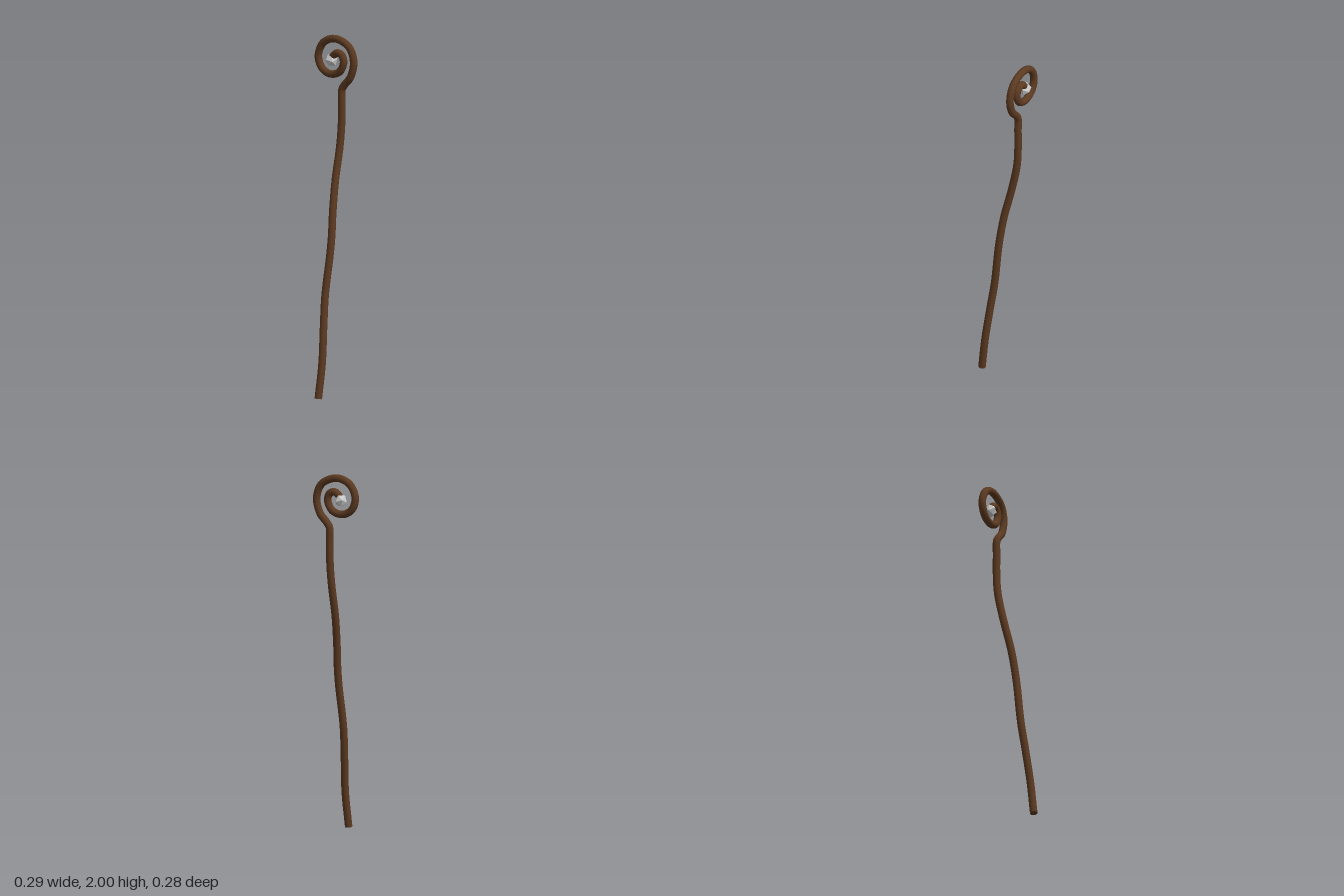
import * as THREE from 'three';

const RADIUS = 0.021;
const PLANE_Z = -0.107; // plane of the curled head

export function createModel() {
  const group = new THREE.Group();
  const wood = new THREE.MeshStandardMaterial({ color: 0x5c3a21 });
  const stone = new THREE.MeshStandardMaterial({ color: 0xcccccc, flatShading: true });

  // gently wavering shaft, bottom to top
  const shaft = [
    [0.053, 0.003, 0.119], [0.06, 0.2, 0.094], [0.05, 0.4, 0.068],
    [0.042, 0.57, 0.044], [0.053, 0.8, 0.014], [0.053, 0.9, 0], [0.045, 1.03, -0.02],
    [0.033, 1.2, -0.058], [0.034, 1.38, -0.096], [0.038, 1.5, -0.106],
    [0.04, 1.62, PLANE_Z], [0.041, 1.7, PLANE_Z],
  ];
  // flat spiral, from the neck inwards
  const spiral = [
    [0.058, 1.727], [0.101, 1.775], [0.123, 1.86], [0.091, 1.94], [-0.008, 1.979],
    [-0.09, 1.949], [-0.125, 1.873], [-0.1, 1.807], [-0.04, 1.779], [0.024, 1.797],
    [0.052, 1.85], [0.04, 1.89], [0.008, 1.901], [-0.02, 1.882], [-0.031, 1.858],
  ].map(([x, y]) => [x, y, PLANE_Z]);
  const path = new THREE.CatmullRomCurve3(
    [...shaft, ...spiral].map((p) => new THREE.Vector3(...p)));

  const staff = new THREE.Mesh(new THREE.TubeGeometry(path, 300, RADIUS, 16), wood);
  staff.name = 'staff';
  group.add(staff);

  // discs closing both ends of the tube
  for (const [name, t, sign] of [['footCap', 0, -1], ['tipCap', 1, 1]]) {
    const cap = new THREE.Mesh(new THREE.CircleGeometry(RADIUS, 16), wood);
    cap.name = name;
    cap.position.copy(path.getPointAt(t));
    cap.quaternion.setFromUnitVectors(
      new THREE.Vector3(0, 0, 1), path.getTangentAt(t).multiplyScalar(sign));
    group.add(cap);
  }

  // faceted stone held at the heart of the spiral
  const gem = new THREE.Mesh(new THREE.IcosahedronGeometry(0.037, 0), stone);
  gem.name = 'gem';
  gem.position.set(-0.032, 1.857, PLANE_Z);
  gem.rotation.set(0, 0.2, 1.3);
  group.add(gem);

  return group;
}
